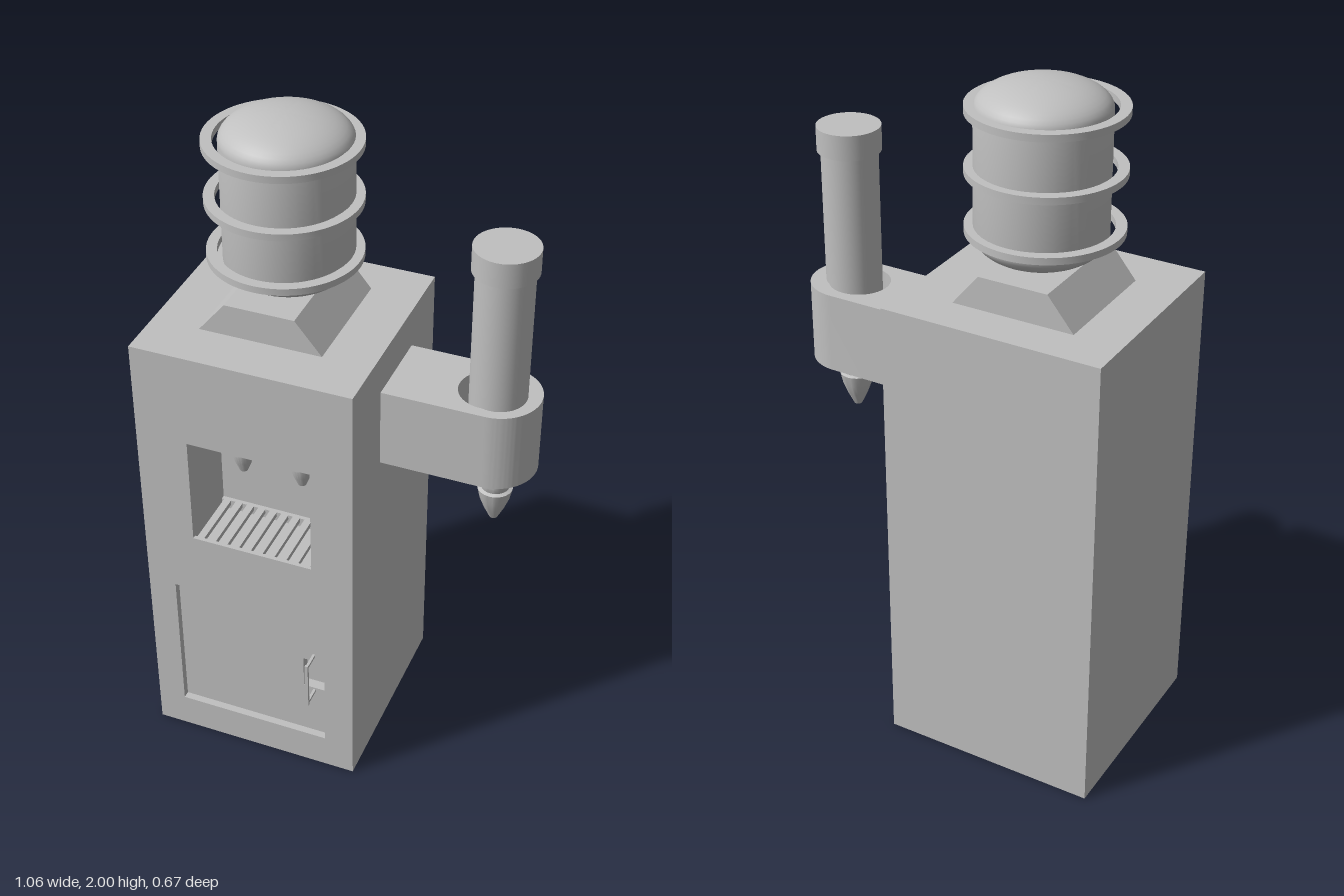
import * as THREE from 'three';
import { toCreasedNormals } from 'three/addons/utils/BufferGeometryUtils.js';

const grey = new THREE.MeshStandardMaterial({ color: 0xc0c0c0 });
grey.name = 'grey';

export function createModel() {
  const model = new THREE.Group();
  model.name = 'dispenser';

  const add = (name, geometry, x = 0, y = 0, z = 0, parent = model) => {
    const mesh = new THREE.Mesh(geometry, grey);
    mesh.name = name;
    mesh.position.set(x, y, z);
    parent.add(mesh);
    return mesh;
  };
  // box given by its min and max corners
  const box = (name, x0, x1, y0, y1, z0, z1, parent) =>
    add(name, new THREE.BoxGeometry(x1 - x0, y1 - y0, z1 - z0),
      (x0 + x1) / 2, (y0 + y1) / 2, (z0 + z1) / 2, parent);
  const polygon = (pts, Type = THREE.Shape) => new Type(pts.map(p => new THREE.Vector2(...p)));
  const rect = (x0, x1, y0, y1, Type) => polygon([[x0, y0], [x1, y0], [x1, y1], [x0, y1]], Type);
  const extrude = (shape, depth) => toCreasedNormals(
    new THREE.ExtrudeGeometry(shape, { depth, bevelEnabled: false, curveSegments: 32 }), 0.6);
  const lathe = (pts, segments = 48) => toCreasedNormals(
    new THREE.LatheGeometry(pts.map(p => new THREE.Vector2(...p)), segments), 0.5);
  const circleHole = (x, y, r) => {
    const path = new THREE.Path();
    path.absarc(x, y, r, 0, Math.PI * 2, true);
    return path;
  };

  // Cabinet: solid back and a thick front with openings
  const X0 = -0.53, X1 = 0.115, TOP = 1.405, FRONT = 0.295, DEPTH = 0.205;
  const BACK = FRONT - DEPTH;
  box('cabinetBack', X0, X1, 0, TOP, -0.333, BACK);
  const face = rect(X0, X1, 0, TOP);
  face.holes.push(rect(-0.375, -0.01, 0.75, 1.12, THREE.Path));
  face.holes.push(rect(-0.445, 0.025, 0.11, 0.58, THREE.Path));
  add('cabinetFront', extrude(face, DEPTH), 0, 0, BACK);

  // Drip tray: front lip and slats running front to back
  const tray = new THREE.Group();
  tray.name = 'dripTray';
  model.add(tray);
  box('trayLip', -0.375, -0.01, 0.75, 0.78, FRONT - 0.012, FRONT, tray);
  box('trayRearRail', -0.375, -0.01, 0.75, 0.78, BACK, BACK + 0.012, tray);
  const slats = 10, pitch = 0.365 / slats;
  for (let i = 0; i < slats; i++) {
    const x = -0.375 + i * pitch + pitch * 0.2;
    box('traySlat', x, x + pitch * 0.6, 0.765, 0.78, BACK, FRONT - 0.01, tray);
  }

  // Taps: pointed spout, round valve and tilted lever
  for (const x of [-0.282, -0.102]) {
    const tap = new THREE.Group();
    tap.name = 'tap';
    tap.position.set(x, 0, BACK + 0.045);
    model.add(tap);
    add('tapSpout', lathe([[0, 0.938], [0.012, 0.942], [0.025, 0.975], [0.036, 1.015], [0.034, 1.035],
      [0.022, 1.055], [0, 1.062]], 24), 0, 0, 0, tap);
    const stem = add('tapStem', new THREE.CylinderGeometry(0.02, 0.02, 0.085, 20), 0, 1.033, -0.002, tap);
    stem.rotation.x = Math.PI / 2;
    const lever = add('tapLever', new THREE.CylinderGeometry(0.006, 0.005, 0.075, 10), 0, 1.056, 0.035, tap);
    lever.rotation.x = 0.15;
  }

  // Door, set back, with a finger pocket at its free edge
  const door = polygon([[-0.445, 0.11], [0.025, 0.11], [0.025, 0.29], [-0.05, 0.29],
    [-0.05, 0.4], [0.025, 0.4], [0.025, 0.58], [-0.445, 0.58]]);
  add('door', extrude(door, 0.03), 0, 0, 0.243);
  box('doorBacking', -0.445, 0.025, 0.11, 0.58, 0.223, 0.243);
  box('doorHandleBar', -0.021, -0.011, 0.272, 0.432, 0.325, 0.333);
  for (const y of [0.28, 0.424])
    box('doorHandleArm', -0.02, -0.012, y - 0.004, y + 0.004, 0.27, 0.327);

  // Wedge-sided tank stand
  add('tankStand', extrude(polygon([[-0.39, TOP], [-0.03, TOP], [-0.108, 1.5], [-0.312, 1.5]]), 0.36),
    0, 0, -0.21);

  // Tank with domed ends
  const profile = [];
  for (let i = 0; i <= 12; i++) {
    const a = (i / 12) * Math.PI / 2;
    profile.push([0.18 * Math.sin(a), 1.58 - 0.08 * Math.cos(a)]);
  }
  for (let i = 0; i <= 12; i++) {
    const a = (i / 12) * Math.PI / 2;
    profile.push([0.18 * Math.cos(a), 1.925 + 0.075 * Math.sin(a)]);
  }
  add('tank', lathe(profile), -0.2, 0, -0.038);

  // Flat hoops around the tank
  const hoop = new THREE.Shape();
  hoop.absarc(0, 0, 0.214, 0, Math.PI * 2);
  hoop.holes.push(circleHole(0, 0, 0.184));
  const hoopGeometry = extrude(hoop, 0.02).rotateX(-Math.PI / 2);
  for (const y of [1.595, 1.759, 1.924]) add('tankHoop', hoopGeometry, -0.207, y - 0.01, -0.03);

  // Side arm with a rounded end and a through hole
  const arm = new THREE.Shape();
  arm.moveTo(X1, -0.121);
  arm.lineTo(0.409, -0.121);
  arm.absarc(0.409, 0, 0.121, -Math.PI / 2, Math.PI / 2);
  arm.lineTo(X1, 0.121);
  arm.closePath();
  arm.holes.push(circleHole(0.386, 0, 0.088));
  add('sideArm', extrude(arm, 0.238).rotateX(-Math.PI / 2), 0, 1.05, -0.029);

  // Canister standing in the arm, with cap and nozzle
  add('canister', new THREE.CylinderGeometry(0.08, 0.08, 0.59, 40), 0.412, 1.395, -0.018);
  add('canisterCap', new THREE.CylinderGeometry(0.09, 0.09, 0.072, 40), 0.412, 1.716, -0.018);
  add('nozzle', lathe([[0, 0.868], [0.012, 0.872], [0.03, 0.91], [0.043, 0.945], [0.05, 0.978], [0.04, 0.982],
    [0.046, 1.0], [0.046, 1.012], [0.04, 1.016], [0.053, 1.045], [0.053, 1.11], [0, 1.11]], 32),
    0.42, 0, -0.012);

  return model;
}
